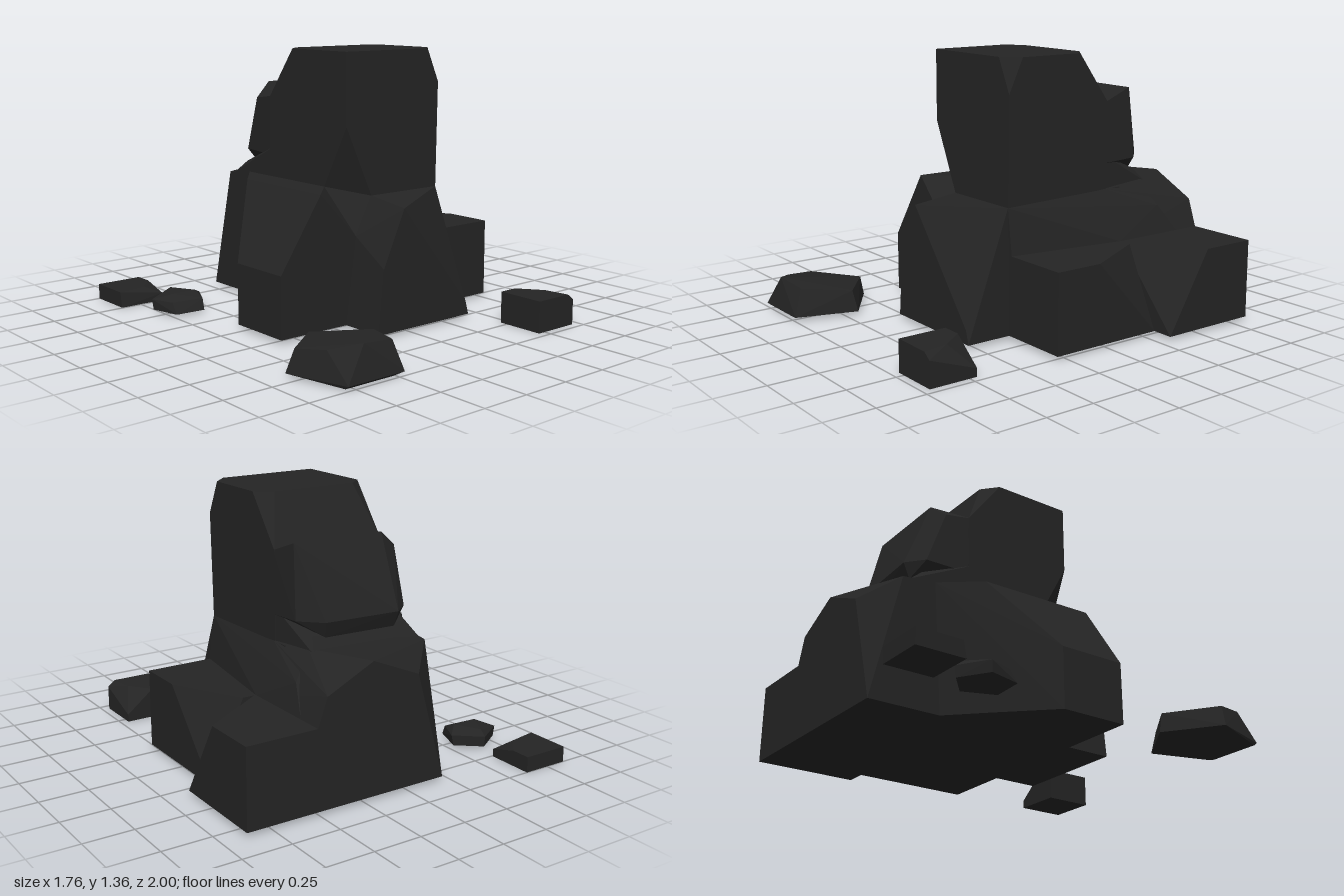
import * as THREE from 'three';
import { ConvexGeometry } from 'three/addons/geometries/ConvexGeometry.js';

// Rock pile: each boulder is the faceted hull of a few corner points.
export function createModel() {
  const group = new THREE.Group();
  const stone = new THREE.MeshStandardMaterial({ color: 0x242424, flatShading: true });
  stone.name = 'dark stone';

  const rock = (name, corners) => {
    const points = corners.map(([x, y, z]) => new THREE.Vector3(x, y, z));
    const mesh = new THREE.Mesh(new ConvexGeometry(points), stone);
    mesh.name = name;
    group.add(mesh);
  };
  // lifts a ground outline of [x, z] pairs to height y
  const ring = (outline, y) => outline.map(([x, z]) => [x, y, z]);

  // tall centre boulder with chipped corners
  rock('tower', [
    [-0.21, 1.36, 0.3], [0.32, 1.36, 0.3], [0.4, 1.36, 0.22], [0.4, 1.19, 0.3],
    [0.4, 1.36, -0.12], [0.32, 1.36, -0.19], [-0.13, 1.36, -0.19], [-0.21, 1.36, -0.12],
    [-0.21, 1.11, -0.31], [0.4, 1.11, -0.31], [-0.21, 1.0, 0.3], [-0.05, 0.65, 0.3],
    [0.39, 0.64, 0.3], [-0.21, 0.69, 0.13], [-0.21, 0.6, -0.31], [0.4, 0.6, -0.31],
  ]);
  rock('towerFoot', [
    ...ring([[-0.21, 0.3], [0.4, 0.3], [0.4, -0.4], [-0.21, -0.4]], 0.02),
    [-0.15, 0.46, 0.3], [-0.05, 0.65, 0.3], [0.39, 0.65, 0.3], [-0.21, 0.69, 0.13],
    [-0.21, 0.69, -0.4], [0.4, 0.67, -0.4],
  ]);

  // bulge on the back of the tower
  rock('backBulge', [
    [-0.21, 1.11, -0.3], [0.4, 1.11, -0.3], [-0.1, 1.17, -0.47], [0.39, 1.17, -0.46],
    [-0.2, 1.09, -0.44], [-0.19, 0.81, -0.54], [-0.1, 0.81, -0.615], [0.3, 0.81, -0.59],
    [0.4, 0.81, -0.49], [-0.1, 0.73, -0.58], [0.28, 0.73, -0.56],
    [-0.21, 0.8, -0.28], [0.4, 0.8, -0.28],
  ]);
  rock('bulgeSupport', [
    [-0.21, 0.85, -0.28], [0.4, 0.85, -0.28], [-0.18, 0.74, -0.56], [0.34, 0.74, -0.54],
    [-0.21, 0.67, -0.64], [0.37, 0.67, -0.6], [-0.21, 0.6, -0.28], [0.4, 0.6, -0.28],
  ]);

  // front slab with a sloping right facet
  rock('frontBoulder', [
    ...ring([[-0.21, 0.54], [0.4, 0.54], [0.4, 0.28], [-0.21, 0.28]], 0.02),
    [-0.18, 0.08, 0.54], [-0.18, 0.34, 0.54], [-0.05, 0.62, 0.54],
    [0.14, 0.09, 0.54], [0.38, 0.09, 0.54], [0.39, 0.65, 0.3],
    [-0.05, 0.65, 0.3], [-0.15, 0.46, 0.3],
  ]);

  // boulder on the -x side
  rock('sideBoulder', [
    ...ring([[-0.61, 0.3], [-0.61, -0.05], [-0.36, -0.31], [-0.21, -0.46], [-0.1, 0.3]], 0.02),
    [-0.61, 0.33, 0.3], [-0.61, 0.33, -0.05], [-0.37, 0.69, 0.3], [-0.36, 0.69, -0.31],
    [-0.15, 0.46, 0.3], [-0.21, 0.69, 0.13], [-0.21, 0.69, -0.5],
  ]);

  // low block on the +x side, chipped at its rear corner
  rock('lowBlock', [
    ...ring([[0.3, 0.3], [0.77, 0.3], [0.77, -0.31], [0.3, -0.31]], 0.02),
    ...ring([[0.3, 0.3], [0.77, 0.3], [0.77, 0.05], [0.58, -0.31], [0.3, -0.31]], 0.42),
  ]);
  rock('slope', [
    [0.39, 0.65, 0.3], [0.42, 0.42, 0.3], [0.51, 0.42, -0.31], [0.51, 0.42, -0.7],
    [0.47, 0.56, -0.6], [0.4, 0.67, -0.3], [0.37, 0.68, -0.55], [0.3, 0.42, 0.3], [0.2, 0.42, -0.7],
  ]);

  // rear mass: high part and low ledge
  rock('rearBoulder', [
    ...ring([[-0.21, -0.84], [0.51, -0.84], [0.51, -0.3], [-0.21, -0.3]], 0.02),
    [0.51, 0.42, -0.84], [0.51, 0.42, -0.31], [0.46, 0.56, -0.84], [0.21, 0.68, -0.84],
    [-0.05, 0.57, -0.84], [-0.21, 0.67, -0.68], [-0.21, 0.69, -0.5], [0.37, 0.69, -0.55],
    [0.4, 0.67, -0.3], [-0.21, 0.69, -0.3],
  ]);
  rock('rearLedge', [
    ...ring([[0.4, -0.84], [0.88, -0.84], [0.88, -0.31], [0.4, -0.31]], 0.02),
    ...ring([[0.4, -0.84], [0.88, -0.84], [0.88, -0.55], [0.52, -0.31], [0.4, -0.31]], 0.42),
  ]);

  // loose stones
  rock('largePebble', [
    ...ring([[-0.63, 0.51], [-0.375, 0.69], [-0.47, 1], [-0.79, 1], [-0.885, 0.69]], 0.02),
    ...ring([[-0.79, 0.98], [-0.52, 0.98], [-0.63, 0.6]], 0.005),
    [-0.85, 0.13, 0.71], [-0.63, 0.12, 0.53], [-0.395, 0.13, 0.71],
    [-0.5, 0.16, 0.95], [-0.68, 0.18, 0.97], [-0.8, 0.15, 0.87],
  ]);
  rock('frontPebble', [
    ...ring([[0.46, 0.96], [0.71, 0.96], [0.71, 0.71], [0.46, 0.71]], 0),
    ...ring([[0.46, 0.96], [0.67, 0.96], [0.65, 0.83], [0.56, 0.71], [0.46, 0.71]], 0.16),
    [0.71, 0.13, 0.96], [0.71, 0.04, 0.71],
  ]);
  rock('rearPebble', [
    ...ring([[-0.86, -1], [-0.615, -1], [-0.615, -0.755], [-0.86, -0.755]], 0),
    ...ring([[-0.86, -1], [-0.615, -1], [-0.615, -0.9], [-0.7, -0.8], [-0.86, -0.77]], 0.08),
    [-0.615, 0.04, -0.755],
  ]);
  rock('smallPebble', [
    ...ring([[-0.64, -0.66], [-0.52, -0.56], [-0.58, -0.4], [-0.74, -0.41], [-0.78, -0.57]], 0.015),
    ...ring([[-0.64, -0.665], [-0.51, -0.555], [-0.57, -0.43], [-0.74, -0.45], [-0.785, -0.575]], 0.07),
    ...ring([[-0.64, -0.63], [-0.57, -0.5], [-0.71, -0.5]], 0.1),
  ]);

  return group;
}
